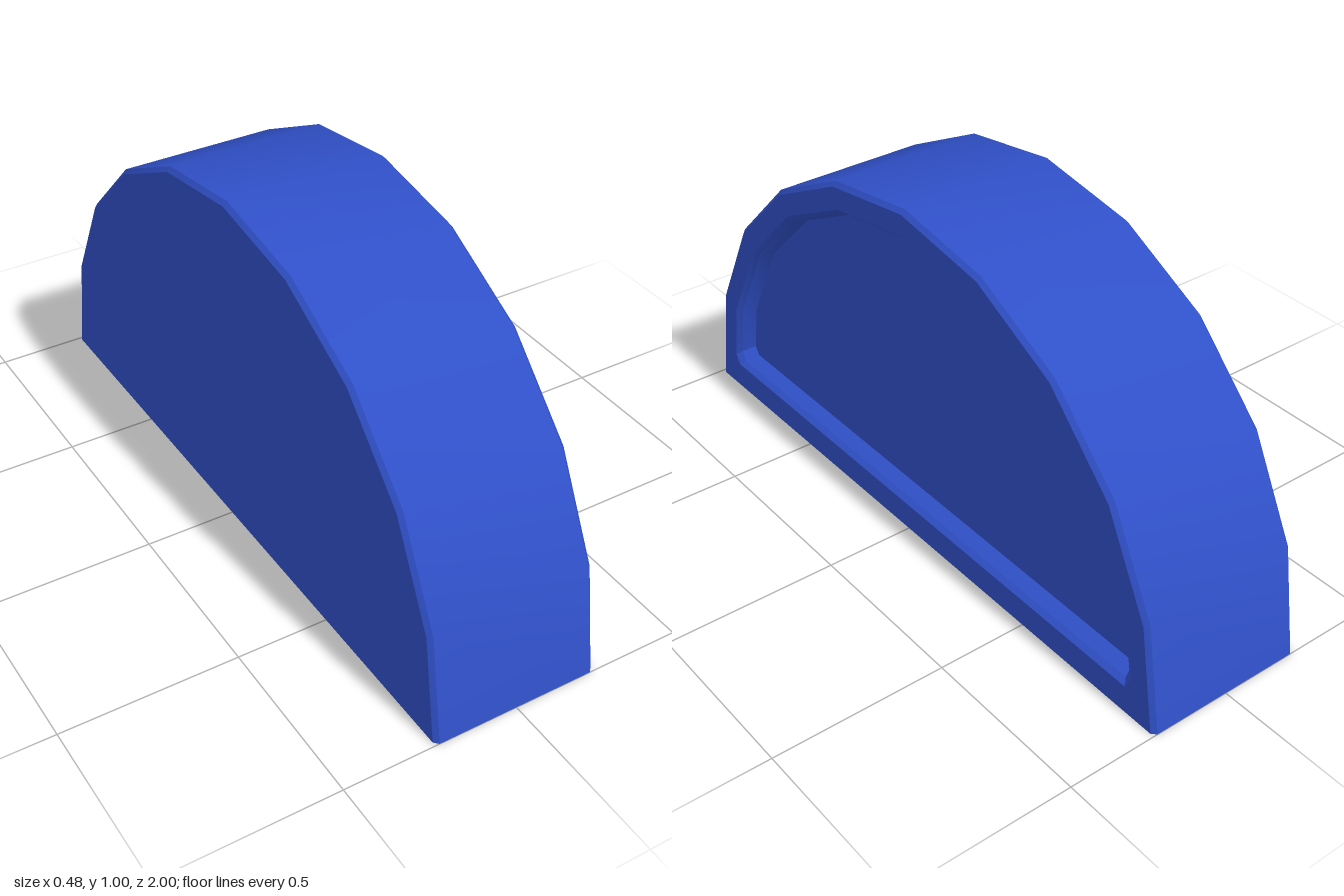
import * as THREE from 'three';
import { toCreasedNormals } from 'three/addons/utils/BufferGeometryUtils.js';

const SEGMENTS = 10;

// Half-circle outline, counter-clockwise, open along the base
function arch(r) {
  return Array.from({ length: SEGMENTS + 1 }, (_, i) => {
    const a = (i / SEGMENTS) * Math.PI;
    return new THREE.Vector2(r * Math.cos(a), r * Math.sin(a));
  });
}

// Closed half-circle outline raised to a base line, with clipped lower corners
function recess(r, base, clip) {
  const side = base + clip;
  const edge = r - side * Math.tan(Math.PI / SEGMENTS / 2);
  return [
    new THREE.Vector2(edge - clip * 0.6, base),
    new THREE.Vector2(edge, side),
    ...arch(r).slice(1, -1),
    new THREE.Vector2(-edge, side),
    new THREE.Vector2(-edge + clip * 0.6, base),
  ];
}

// Band of quads joining two outlines with equal point counts
function band(a, za, b, zb, closed = false) {
  const n = a.length;
  const positions = [];
  const index = [];
  a.forEach((p) => positions.push(p.x, p.y, za));
  b.forEach((p) => positions.push(p.x, p.y, zb));
  for (let i = 0; i < (closed ? n : n - 1); i++) {
    const j = (i + 1) % n;
    index.push(i, j, n + j, i, n + j, n + i);
  }
  const g = new THREE.BufferGeometry();
  g.setAttribute('position', new THREE.Float32BufferAttribute(positions, 3));
  g.setIndex(index);
  return toCreasedNormals(g, 0.5);
}

export function createModel() {
  const blue = new THREE.MeshStandardMaterial({ color: 0x3050c8, side: THREE.DoubleSide });
  blue.name = 'blue';

  const group = new THREE.Group();
  group.name = 'archBlock';
  const body = new THREE.Group();
  body.name = 'body';
  body.rotation.y = Math.PI / 2; // local depth runs along x
  group.add(body);

  const add = (name, geometry) => {
    const mesh = new THREE.Mesh(geometry, blue);
    mesh.name = name;
    body.add(mesh);
    return mesh;
  };

  const half = 0.24;
  const bevel = 0.012;
  const outer = arch(1);
  const face = arch(1 - bevel);

  // Curved shell, open underneath, with bevelled rims
  add('curvedShell', band(outer, -half + bevel, outer, half - bevel));
  add('leftBevel', band(outer, half - bevel, face, half));
  add('rightBevel', band(face, -half, outer, -half + bevel));

  // Plain side
  add('plainSide', new THREE.ShapeGeometry(new THREE.Shape(face))).position.z = -half;
  body.children.at(-1).geometry.scale(-1, 1, 1);
  const plain = body.children.at(-1).geometry.index.array;
  for (let i = 0; i < plain.length; i += 3) {
    [plain[i], plain[i + 1]] = [plain[i + 1], plain[i]];
  }
  body.children.at(-1).geometry.scale(-1, 1, 1);
  body.children.at(-1).geometry.computeVertexNormals();

  // Recessed side: rim, two sloping steps and floor
  const opening = recess(0.925, 0.08, 0.03);
  const step = recess(0.912, 0.092, 0.028);
  const floor = recess(0.897, 0.108, 0.025);
  const rim = new THREE.Shape(face);
  rim.holes.push(new THREE.Path(opening));
  add('recessRim', new THREE.ShapeGeometry(rim)).position.z = half;
  add('recessEdge', band(opening, half, step, half - 0.015, true));
  add('recessWall', band(step, half - 0.015, floor, half - 0.053, true));
  add('recessFloor', new THREE.ShapeGeometry(new THREE.Shape(floor))).position.z = half - 0.053;

  return group;
}
